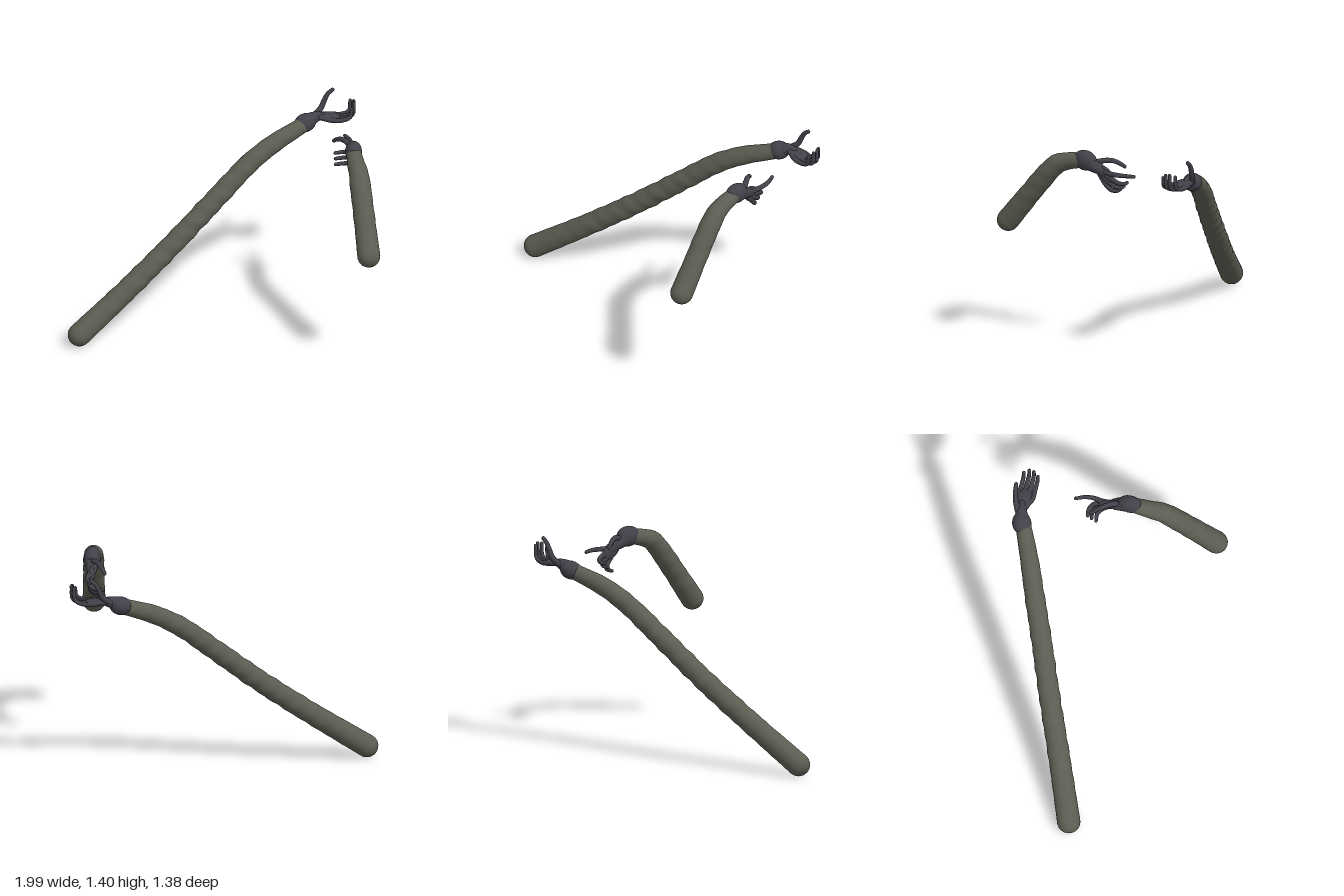
import * as THREE from 'three';
import { mergeGeometries } from 'three/addons/utils/BufferGeometryUtils.js';

const sleeveMat = new THREE.MeshStandardMaterial({ color: 0x5a5d51 });
sleeveMat.name = 'grey green cloth';
const gloveMat = new THREE.MeshStandardMaterial({ color: 0x434049 });
gloveMat.name = 'dark violet glove';

const vec = (p) => new THREE.Vector3(...p);

// Tube along points with a radius at each point, rounded ends and optional folds
function limb(name, points, radii, mat, segs, sides, fold = 0) {
  const curve = new THREE.CatmullRomCurve3(points.map(vec), false, 'centripetal');
  const geo = new THREE.TubeGeometry(curve, segs, 1, sides, false);
  // radius is spaced by the same points as the path
  const lengths = curve.getLengths(200);
  const total = lengths[200];
  const stops = points.map((_, i) => lengths[Math.round((200 * i) / (points.length - 1))] / total);
  const radiusAt = (u) => {
    let i = 0;
    while (i < stops.length - 2 && u > stops[i + 1]) i++;
    return THREE.MathUtils.lerp(radii[i], radii[i + 1], (u - stops[i]) / (stops[i + 1] - stops[i]));
  };
  const pos = geo.attributes.position;
  const v = new THREE.Vector3();
  for (let i = 0; i <= segs; i++) {
    const u = i / segs;
    const centre = curve.getPointAt(u);
    for (let j = 0; j <= sides; j++) {
      const k = i * (sides + 1) + j;
      const a = (j / sides) * Math.PI * 2;
      const s = u * total;
      const lump = fold * Math.sin(Math.PI * u) * (Math.sin(s * 55 + 2 * Math.sin(a)) + 0.6 * Math.sin(s * 31 + 2 * a));
      v.fromBufferAttribute(pos, k).sub(centre).multiplyScalar(radiusAt(u) + lump).add(centre);
      pos.setXYZ(k, v.x, v.y, v.z);
    }
  }
  geo.computeVertexNormals();
  // average the normals across the tube seam
  const nor = geo.attributes.normal;
  const w = new THREE.Vector3();
  for (let i = 0; i <= segs; i++) {
    const a = i * (sides + 1), b = a + sides;
    v.fromBufferAttribute(nor, a).add(w.fromBufferAttribute(nor, b)).normalize();
    nor.setXYZ(a, v.x, v.y, v.z);
    nor.setXYZ(b, v.x, v.y, v.z);
  }
  const caps = [0, points.length - 1].map((i) =>
    new THREE.SphereGeometry(radii[i], sides, Math.max(8, sides / 2)).translate(...points[i]));
  const mesh = new THREE.Mesh(mergeGeometries([geo, ...caps]), mat);
  mesh.name = name;
  return mesh;
}

// Ellipsoid with its long axis along dir and its thin axis near thin
function blob(name, centre, dir, thin, size) {
  const x = vec(dir).normalize();
  const z = new THREE.Vector3().crossVectors(x, vec(thin)).normalize();
  const y = new THREE.Vector3().crossVectors(z, x);
  const mesh = new THREE.Mesh(new THREE.SphereGeometry(1, 24, 16), gloveMat);
  mesh.name = name;
  mesh.quaternion.setFromRotationMatrix(new THREE.Matrix4().makeBasis(x, y, z));
  mesh.scale.set(...size);
  mesh.position.set(...centre);
  return mesh;
}

const digit = (name, points, r) =>
  limb(name, points, points.map((_, i) => r * (1.15 - (0.45 * i) / (points.length - 1))), gloveMat, 20, 10);

function rightArm() {
  const arm = new THREE.Group();
  arm.name = 'rightArm';
  arm.add(limb('rightSleeve',
    [[-0.925, 0.077, 0.152], [-0.62, 0.31, 0.005], [-0.3, 0.57, -0.155], [0, 0.835, -0.3],
      [0.2, 1.01, -0.4], [0.36, 1.11, -0.475], [0.55, 1.19, -0.57]],
    [0.075, 0.07, 0.068, 0.066, 0.064, 0.06, 0.051], sleeveMat, 130, 28, 0.0022));
  // Cuff, wrist and upturned palm
  arm.add(blob('rightCuff', [0.57, 1.2, -0.588], [0.9, 0.25, -0.4], [0, 1, 0], [0.075, 0.06, 0.062]));
  arm.add(limb('rightWrist', [[0.58, 1.21, -0.59], [0.64, 1.23, -0.61], [0.69, 1.235, -0.618]],
    [0.05, 0.036, 0.022], gloveMat, 12, 18));
  arm.add(blob('rightPalm', [0.715, 1.23, -0.617], [1, -0.06, 0], [0, 1, 0], [0.085, 0.02, 0.055]));
  // Four fingers curling up at the ends
  const tips = [[0.87, 1.3], [0.885, 1.325], [0.885, 1.33], [0.865, 1.32]];
  tips.forEach(([x, y], i) => {
    const z = -0.565 - i * 0.031;
    arm.add(digit('rightFinger' + (i + 1), [[0.65, 1.235, -0.605 - i * 0.008], [0.74, 1.225, z],
      [x - 0.065, 1.222, z], [x - 0.01, 1.245, z], [x, y, z]], 0.0165));
  });
  arm.add(digit('rightThumb', [[0.63, 1.23, -0.63], [0.675, 1.27, -0.657], [0.7, 1.325, -0.668],
    [0.722, 1.365, -0.673], [0.752, 1.39, -0.677]], 0.018));
  return arm;
}

function leftArm() {
  const arm = new THREE.Group();
  arm.name = 'leftArm';
  arm.add(limb('leftSleeve',
    [[0.92, 0.822, 0.617], [0.9, 1.01, 0.47], [0.882, 1.17, 0.342], [0.872, 1.245, 0.27],
      [0.86, 1.275, 0.2], [0.852, 1.297, 0.1]],
    [0.074, 0.069, 0.068, 0.064, 0.057, 0.05], sleeveMat, 90, 28, 0.0012));
  // Cuff, wrist and hanging palm
  arm.add(blob('leftCuff', [0.85, 1.303, 0.06], [0, -0.1, -1], [1, 0, 0], [0.085, 0.054, 0.067]));
  arm.add(limb('leftWrist', [[0.848, 1.29, 0.03], [0.84, 1.265, -0.03], [0.835, 1.235, -0.08]],
    [0.05, 0.04, 0.025], gloveMat, 12, 18));
  arm.add(blob('leftPalm', [0.835, 1.227, -0.085], [0, -0.55, -0.8], [1, 0, 0], [0.075, 0.02, 0.05]));
  // Three lower fingers folding inward
  const tips = [[1.165, -0.205], [1.137, -0.18], [1.11, -0.15]];
  tips.forEach(([y, z], i) => {
    arm.add(digit('leftFinger' + (i + 2), [[0.84, 1.255 - i * 0.008, -0.04], [0.84, 1.218 - i * 0.025, -0.12 + i * 0.014],
      [0.825, y + 0.02, z + 0.025], [0.79, y + 0.008, z + 0.004], [0.745, y + 0.005, z + 0.01]], 0.0165));
  });
  // Pointing finger and thumb
  arm.add(digit('leftIndexFinger', [[0.842, 1.26, -0.05], [0.842, 1.243, -0.12], [0.846, 1.245, -0.19],
    [0.835, 1.246, -0.245], [0.812, 1.245, -0.295]], 0.0165));
  arm.add(digit('leftThumb', [[0.838, 1.295, -0.01], [0.815, 1.312, -0.055], [0.78, 1.312, -0.105],
    [0.752, 1.292, -0.145], [0.735, 1.272, -0.17]], 0.0175));
  return arm;
}

export function createModel() {
  const model = new THREE.Group();
  model.name = 'pairOfArms';
  model.add(rightArm(), leftArm());
  return model;
}
